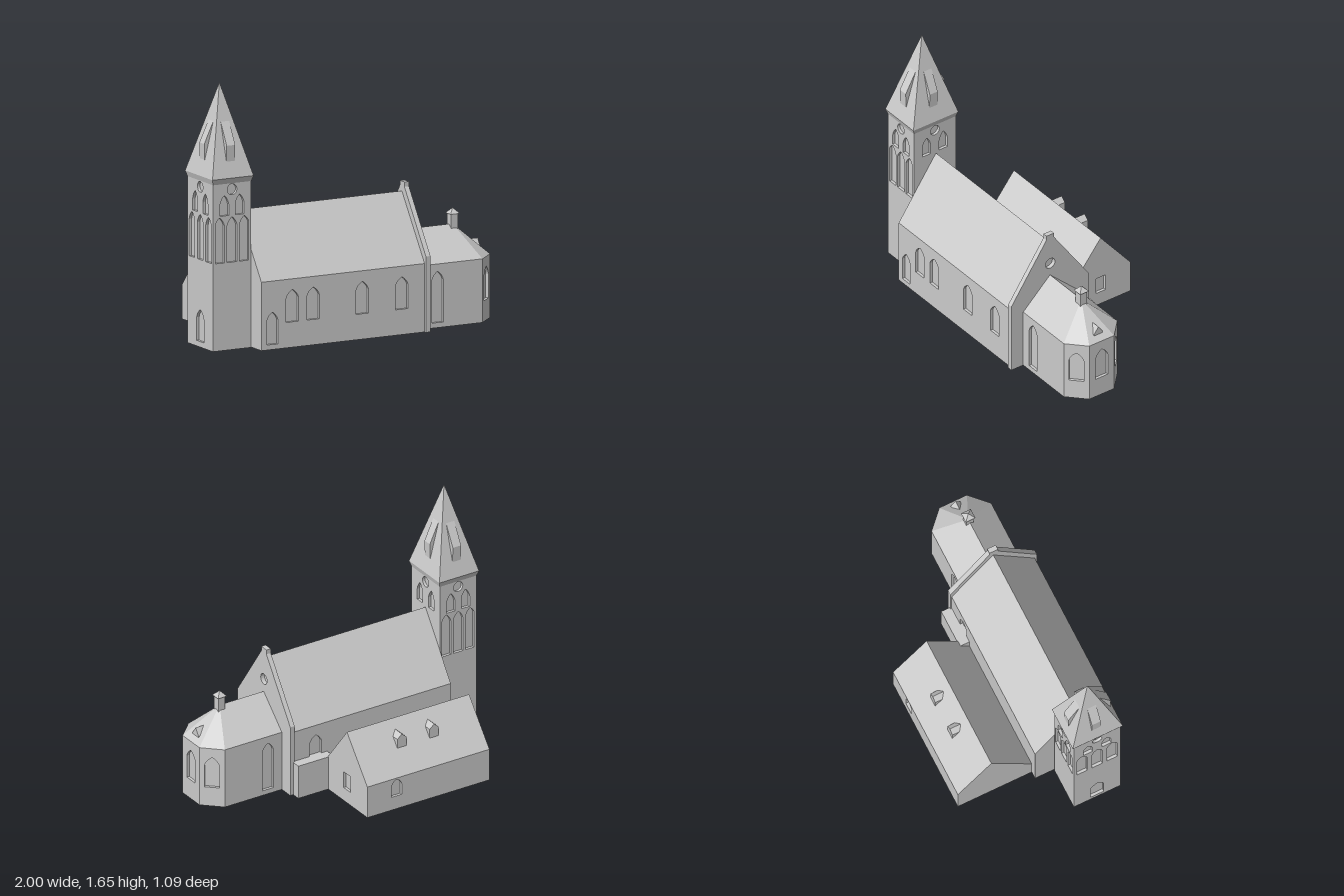
import * as THREE from 'three';

const stone = new THREE.MeshStandardMaterial({ color: 0xcccccc });
stone.name = 'stone grey';
const D = 0.018; // window recess depth

export function createModel() {
  const root = new THREE.Group();
  root.name = 'church';

  const add = (name, geometry, parent = root) => {
    const flat = geometry.index ? geometry.toNonIndexed() : geometry;
    flat.computeVertexNormals();
    const mesh = new THREE.Mesh(flat, stone);
    mesh.name = name;
    parent.add(mesh);
    return mesh;
  };
  const toShape = (pts) => new THREE.Shape(pts.map(([x, y]) => new THREE.Vector2(x, y)));
  const extrude = (shape, depth) =>
    new THREE.ExtrudeGeometry(shape, { depth, bevelEnabled: false, curveSegments: 10 });
  const rect = (w, h, y0 = 0) => [[-w / 2, y0], [w / 2, y0], [w / 2, y0 + h], [-w / 2, y0 + h]];

  // Openings, in wall coordinates (u across, v up)
  const lancet = (u, w, v0, shoulder, apex) => {
    const s = new THREE.Path();
    s.moveTo(u - w / 2, v0);
    s.lineTo(u + w / 2, v0);
    s.lineTo(u + w / 2, shoulder);
    s.quadraticCurveTo(u + w * 0.4, (shoulder + apex) / 2 + 0.006, u, apex);
    s.quadraticCurveTo(u - w * 0.4, (shoulder + apex) / 2 + 0.006, u - w / 2, shoulder);
    return s;
  };
  const round = (u, v, r) => new THREE.Path().absarc(u, v, r, 0, Math.PI * 2);

  // Wall slab with openings; (x, z) is on its outer face, angle turns it outward
  const wall = (name, outline, holes, x, z, angle, depth = D) => {
    const shape = toShape(outline);
    shape.holes.push(...holes);
    const geo = extrude(shape, depth).translate(0, 0, -depth);
    return add(name, geo.rotateY(angle).translate(x, 0, z));
  };
  // Solid along x from a (z, y) section
  const alongX = (name, section, x0, x1) =>
    add(name, extrude(toShape(section.map(([z, y]) => [-z, y])), x1 - x0)
      .rotateY(Math.PI / 2).translate(x0, 0, 0));
  const box = (name, x0, x1, y0, y1, z0, z1) =>
    add(name, new THREE.BoxGeometry(x1 - x0, y1 - y0, z1 - z0)
      .translate((x0 + x1) / 2, (y0 + y1) / 2, (z0 + z1) / 2));
  // Four-sided frustum or pyramid with half widths hx, hz at its base
  const pyramid = (name, hx, hz, y0, y1, x, z, top = 0, bottom = 1) =>
    add(name, new THREE.CylinderGeometry(top * Math.SQRT2, bottom * Math.SQRT2, 1, 4)
      .rotateY(Math.PI / 4).scale(hx, y1 - y0, hz).translate(x, (y0 + y1) / 2, z));
  const R = Math.PI / 2;

  // Nave
  alongX('nave', [
    [-0.04 + D, 0], [-0.04 + D, 0.425], [-0.04, 0.43], [0.245, 0.835],
    [0.53, 0.43], [0.53 - D, 0.425], [0.53 - D, 0]], -0.716, 0.44);
  const naveWindows = [-0.497, -0.35, -0.004, 0.275].map((x) => lancet(x + 0.138, 0.088, 0.16, 0.31, 0.363));
  naveWindows.push(lancet(-0.638 + 0.138, 0.08, 0.032, 0.18, 0.235));
  wall('naveFrontWall', rect(1.156, 0.43), naveWindows, -0.138, 0.53, 0);
  wall('naveBackWall', rect(1.156, 0.43), [lancet(-0.275 - 0.138, 0.088, 0.16, 0.31, 0.363)],
    -0.138, -0.04, Math.PI);

  // Raised gable with round window
  wall('gableWall', [
    [-0.298, 0], [0.298, 0], [0.298, 0.477], [0.029, 0.866], [0.029, 0.896],
    [-0.029, 0.896], [-0.029, 0.866], [-0.298, 0.477]], [round(0, 0.68, 0.036)], 0.467, 0.248, R, 0.032);

  // Tower
  const tx = -0.855, tz = 0.25, hx = 0.135, hz = 0.16;
  box('towerCore', tx - hx + D, tx + hx - D, 0, 1.08, tz - hz + D, tz + hz - D);
  const belfry = (h) => [
    lancet(-h * 0.4, 0.062, 0.845, 0.915, 0.973), lancet(h * 0.4, 0.062, 0.845, 0.915, 0.973),
    round(0, 1.007, 0.034)];
  const tall = (h) => [-1, 0, 1].map((i) => lancet(i * h * 0.65, 0.07, 0.55, 0.78, 0.834));
  wall('towerFrontWall', rect(2 * hx, 1.08), [...belfry(hx), ...tall(hx)], tx, tz + hz, 0);
  wall('towerBackWall', rect(2 * hx, 1.08), [...belfry(hx), ...tall(hx)], tx, tz - hz, Math.PI);
  wall('towerInnerWall', rect(2 * hz, 1.08), belfry(hz), tx + hx, tz, R);
  wall('towerOuterWall', rect(2 * hz, 1.08),
    [...belfry(hz), ...tall(hz), lancet(0, 0.09, 0.035, 0.18, 0.235)], tx - hx, tz, -R);
  pyramid('towerCornice', 0.145, 0.172, 1.045, 1.08, tx, tz, 1, 0.93);
  pyramid('spire', 0.145, 0.172, 1.08, 1.65, tx, tz);

  // Spire dormers, one on each face
  for (let i = 0; i < 4; i++) {
    const k = i % 2 ? 1.186 : 1;
    const profile = [[0.045, 1.18], [0.121, 1.18], [0.123, 1.28], [0.058, 1.42], [0.045, 1.42]];
    add('spireDormer', extrude(toShape(profile.map(([r, y]) => [r * k, y])), 0.06)
      .translate(0, 0, -0.03).rotateY(i * R).translate(tx, 0, tz));
  }

  // Chancel: five walls round a core
  const eave = 0.4;
  const plan = [[0.465, 0.455], [0.885, 0.455], [1, 0.345], [1, 0.155], [0.885, 0.045], [0.465, 0.045]];
  const inner = [[0.465, 0.455 - D], [0.885 - D * 0.4, 0.455 - D], [1 - D, 0.345 - D * 0.4],
    [1 - D, 0.155 + D * 0.4], [0.885 - D * 0.4, 0.045 + D], [0.465, 0.045 + D]];
  add('chancelCore', extrude(toShape(inner.map(([x, z]) => [x, -z])), eave - 0.002).rotateX(-R));
  for (let i = 0; i < 5; i++) {
    const [x0, z0] = plan[i], [x1, z1] = plan[i + 1];
    const side = i === 0 || i === 4;
    const u = i === 0 ? -0.106 : i === 4 ? 0.106 : 0;
    const hole = side ? lancet(u, 0.08, 0.032, 0.3, 0.353) : lancet(0, 0.094, 0.13, 0.28, 0.338);
    wall('chancelWall', rect(Math.hypot(x1 - x0, z1 - z0), eave), [hole],
      (x0 + x1) / 2, (z0 + z1) / 2, Math.atan2(z0 - z1, x1 - x0));
  }
  // Chancel roof with faceted hip
  const e = plan.map(([x, z]) => [x, eave, z]);
  const r0 = [0.465, 0.594, 0.25], r1 = [0.79, 0.594, 0.25];
  const tris = [e[0], r1, r0, e[5], r0, r1, e[4], e[5], r1];
  for (let i = 0; i < 4; i++) tris.push(e[i], e[i + 1], r1);
  const roof = new THREE.BufferGeometry();
  roof.setAttribute('position', new THREE.Float32BufferAttribute(tris.flat(), 3));
  add('chancelRoof', roof);
  alongX('chancelDormer', [[0.217, 0.42], [0.217, 0.442], [0.25, 0.487], [0.283, 0.442], [0.283, 0.42]],
    0.87, 0.966);

  // Chimney
  box('chimney', 0.765, 0.815, 0.5, 0.66, 0.225, 0.275);
  pyramid('chimneyCap', 0.033, 0.033, 0.66, 0.695, 0.79, 0.25);

  // Side building with ridge parallel to the nave
  const sx0 = -0.67, sx1 = 0.225;
  alongX('sideBuilding', [
    [-0.547 + D, 0], [-0.547 + D, 0.21], [-0.547, 0.214], [-0.317, 0.494],
    [-0.04, 0.148], [-0.02, 0.148], [-0.02, 0]], sx0, sx1 - D);
  wall('sideBuildingGable', [[-0.04, 0], [0.547, 0], [0.547, 0.214], [0.317, 0.494], [-0.04, 0.048]]
    .map(([u, v], i) => (i === 4 ? [0.04, 0.148] : i === 0 ? [0.04, 0] : [u, v])),
    [new THREE.Path([[0.28, 0.09], [0.354, 0.09], [0.354, 0.2], [0.28, 0.2]]
      .map(([u, v]) => new THREE.Vector2(u, v)))], sx1, 0, R);
  const sMid = (sx0 + sx1) / 2;
  wall('sideBuildingBackWall', rect(sx1 - sx0, 0.214), [lancet(sMid - 0.01, 0.075, 0.09, 0.165, 0.205)],
    sMid, -0.547, Math.PI);
  for (const x of [-0.337, -0.1])
    wall('roofDormer', [[-0.033, 0.34], [0.033, 0.34], [0.033, 0.41], [0, 0.44], [-0.033, 0.41]], [],
      x, -0.436, Math.PI, 0.09);

  // Low link beside the nave
  box('link', 0.19, 0.445, 0, 0.225, -0.107, -0.02);

  return root;
}
